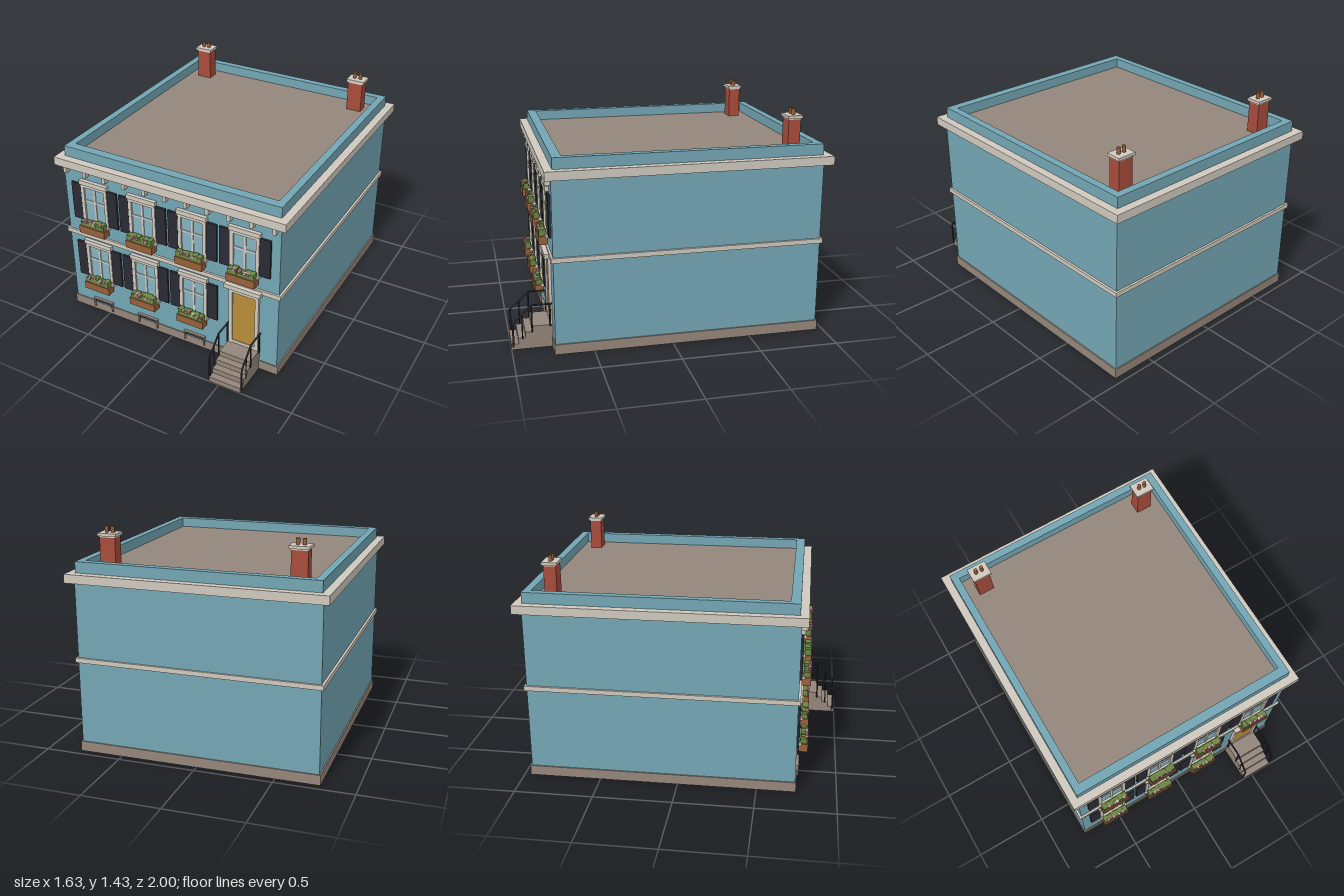
import * as THREE from 'three';

const material = (name, color) => {
  const m = new THREE.MeshStandardMaterial({ color });
  m.name = name;
  return m;
};

export function createModel() {
  const wall = material('teal wall', 0x73a6b4);
  const trim = material('cream trim', 0xd0c9be);
  const stone = material('brown stone', 0x94867b);
  const dark = material('dark paint', 0x2a2b33);
  const wood = material('planter wood', 0x96603a);
  const leaf = material('leaf green', 0x6b8542);
  const petal = material('pink petals', 0xd583a8);
  const glass = material('window glass', 0x86b2c0);
  const ochre = material('ochre door', 0xb88c38);
  const brick = material('red brick', 0xa84c3b);

  const house = new THREE.Group();
  house.name = 'townHouse';

  // Seeded numbers for the planting
  let seed = 7;
  const rnd = () => (seed = (seed * 16807) % 2147483647) / 2147483647;

  const group = (name, x, y, z) => {
    const g = new THREE.Group();
    g.name = name;
    g.position.set(x, y, z);
    house.add(g);
    return g;
  };

  // Box given by its limits on each axis
  const box = (parent, name, mat, x0, x1, y0, y1, z0, z1) => {
    const mesh = new THREE.Mesh(new THREE.BoxGeometry(x1 - x0, y1 - y0, z1 - z0), mat);
    mesh.position.set((x0 + x1) / 2, (y0 + y1) / 2, (z0 + z1) / 2);
    mesh.name = name;
    parent.add(mesh);
    return mesh;
  };

  // Round bar between two points
  const bar = (parent, name, a, b, r) => {
    const dir = b.clone().sub(a);
    const mesh = new THREE.Mesh(new THREE.CylinderGeometry(r, r, dir.length(), 8), dark);
    mesh.position.copy(a).add(b).multiplyScalar(0.5);
    mesh.quaternion.setFromUnitVectors(new THREE.Vector3(0, 1, 0), dir.normalize());
    mesh.name = name;
    parent.add(mesh);
  };

  // Main volume with its horizontal bands
  const front = 0.741;
  box(house, 'walls', wall, -0.772, 0.772, 0, 1.12, -0.95, front);
  box(house, 'plinth', stone, -0.781, 0.781, 0.002, 0.067, -0.958, 0.747);
  box(house, 'beltCourse', trim, -0.787, 0.787, 0.597, 0.627, -0.964, 0.754);
  box(house, 'cornice', trim, -0.816, 0.816, 1.11, 1.165, -1, 0.782);

  // Parapet ring and roof deck
  const rect = (path, x, y0, y1) =>
    path.moveTo(-x, y0).lineTo(x, y0).lineTo(x, y1).lineTo(-x, y1).closePath();
  const ring = new THREE.Shape();
  const hole = new THREE.Path();
  rect(ring, 0.765, -0.73, 0.947);
  rect(hole, 0.717, -0.67, 0.898);
  ring.holes.push(hole);
  const ringGeo = new THREE.ExtrudeGeometry(ring, { depth: 0.073, bevelEnabled: false });
  ringGeo.rotateX(-Math.PI / 2);
  const parapet = new THREE.Mesh(ringGeo, wall);
  parapet.position.y = 1.162;
  parapet.name = 'parapet';
  house.add(parapet);
  box(house, 'roofDeck', stone, -0.72, 0.72, 1.16, 1.17, -0.9, 0.672);

  // Brackets under the cornice
  for (let i = 0; i < 11; i++) {
    const x = (i - 5) * 0.1483;
    box(house, 'bracket', trim, x - 0.011, x + 0.011, 1.067, 1.112, front - 0.01, 0.776);
  }

  // Chimneys
  for (const side of [-1, 1]) {
    const g = group('chimney', side * 0.599, 0, -0.795);
    box(g, 'chimneyStack', brick, -0.051, 0.051, 1.165, 1.375, -0.039, 0.039);
    box(g, 'chimneyCap', trim, -0.062, 0.062, 1.378, 1.396, -0.049, 0.049);
    box(g, 'chimneyNeck', trim, -0.053, 0.053, 1.37, 1.38, -0.041, 0.041);
    for (const x of [-0.02, 0.02]) {
      const pot = new THREE.Mesh(new THREE.CylinderGeometry(0.012, 0.012, 0.044, 12), wood);
      pot.position.set(x, 1.412, 0);
      pot.name = 'chimneyPot';
      g.add(pot);
    }
  }

  // Window with shutters and flower box; the origin is at the sill on the wall
  const addWindow = (x, y) => {
    const g = group('window', x, y, front);
    box(g, 'pane', glass, -0.082, 0.082, 0, 0.255, -0.002, 0.004);
    box(g, 'head', trim, -0.098, 0.098, 0.25, 0.275, 0, 0.016);
    box(g, 'lintel', trim, -0.106, 0.106, 0.272, 0.302, 0, 0.024);
    box(g, 'sill', trim, -0.106, 0.106, -0.02, 0, 0, 0.03);
    box(g, 'mullion', trim, -0.007, 0.007, 0, 0.252, 0, 0.009);
    box(g, 'transom', trim, -0.08, 0.08, 0.144, 0.157, 0, 0.009);
    for (const s of [-1, 1]) {
      const span = (a, b) => [Math.min(s * a, s * b), Math.max(s * a, s * b)];
      box(g, 'jamb', trim, ...span(0.076, 0.098), 0, 0.252, 0, 0.016);
      box(g, 'shutter', dark, ...span(0.1, 0.172), 0, 0.268, 0, 0.014);
    }
    box(g, 'flowerBox', wood, -0.097, 0.097, -0.065, -0.012, 0.012, 0.069);
    box(g, 'foliageBed', leaf, -0.088, 0.088, -0.015, 0.012, 0.018, 0.062);
    for (let i = 0; i < 6; i++) {
      const cx = -0.073 + i * 0.0292;
      const top = 0.02 + rnd() * 0.014;
      box(g, 'foliage', leaf, cx - 0.0165, cx + 0.0165, -0.01, top, 0.02 + rnd() * 0.008, 0.058 + rnd() * 0.008);
    }
    for (let i = 0; i < 4; i++) {
      const cx = -0.06 + i * 0.036 + rnd() * 0.02;
      const cy = 0.016 + rnd() * 0.012;
      box(g, 'flower', i === 2 ? trim : petal, cx - 0.008, cx + 0.008, cy - 0.006, cy + 0.01, 0.05, 0.069);
    }
  };
  const bays = [-0.543, -0.181, 0.18, 0.541];
  bays.forEach((x) => addWindow(x, 0.732));
  bays.slice(0, 3).forEach((x) => addWindow(x, 0.278));

  // Cellar vents in the plinth
  for (const x of bays.slice(0, 3)) {
    const g = group('cellarVent', x, 0, front);
    box(g, 'ventHead', stone, -0.077, 0.077, 0.09, 0.1, 0, 0.018);
    box(g, 'ventSill', stone, -0.06, 0.06, 0.058, 0.068, 0, 0.012);
    box(g, 'ventOpening', dark, -0.068, 0.068, 0.066, 0.092, 0, 0.009);
    box(g, 'ventPane', glass, -0.055, 0.055, 0.069, 0.074, 0.004, 0.011);
    for (const s of [-1, 1])
      box(g, 'ventSide', stone, s * 0.072 - 0.005, s * 0.072 + 0.005, 0.028, 0.1, 0, 0.016);
  }

  // Front door
  const door = group('frontDoor', 0.541, 0, front);
  box(door, 'doorPanel', ochre, -0.08, 0.08, 0.165, 0.55, 0, 0.008);
  box(door, 'doorHead', trim, -0.103, 0.103, 0.547, 0.586, 0, 0.018);
  box(door, 'doorLintel', trim, -0.124, 0.124, 0.584, 0.614, 0, 0.042);
  box(door, 'threshold', trim, -0.103, 0.103, 0.147, 0.169, 0, 0.014);
  for (const s of [-1, 1])
    box(door, 'doorJamb', trim, s * 0.091 - 0.012, s * 0.091 + 0.012, 0.147, 0.55, 0, 0.018);

  // Steps, each a block reaching back to the wall
  const treads = [1, 0.955, 0.911, 0.868];
  treads.forEach((z, i) =>
    box(house, 'step', stone, 0.432, 0.65, i * 0.0368, (i + 1) * 0.0368, front - 0.01, z));

  // Handrails
  for (const x of [0.428, 0.654]) {
    const g = group('railing', x, 0, 0);
    const p = (y, z) => new THREE.Vector3(0, y, z);
    bar(g, 'levelRail', p(0.288, 0.742), p(0.288, 0.87), 0.006);
    bar(g, 'slopedRail', p(0.288, 0.87), p(0.178, 0.987), 0.006);
    bar(g, 'wallPost', p(0.14, 0.757), p(0.288, 0.757), 0.006);
    bar(g, 'topPost', p(0.11, 0.87), p(0.29, 0.87), 0.005);
    bar(g, 'middlePost', p(0.07, 0.93), p(0.232, 0.93), 0.004);
    bar(g, 'bottomPost', p(0.02, 0.987), p(0.18, 0.987), 0.006);
  }

  return house;
}
